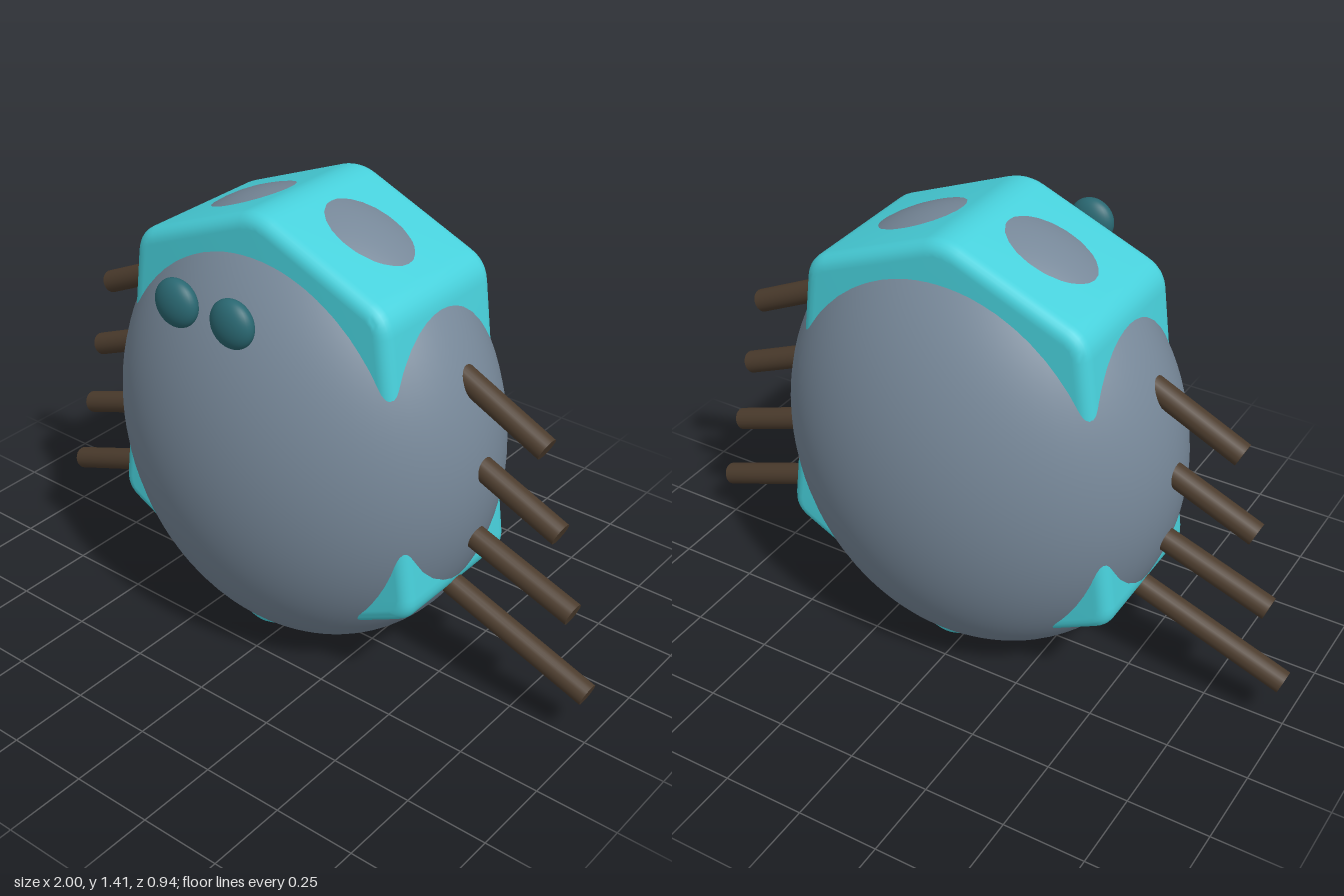
import * as THREE from 'three';
import { toCreasedNormals } from 'three/addons/utils/BufferGeometryUtils.js';

const Z = -0.007; // common centre plane

const paint = (color) => new THREE.MeshStandardMaterial({ color });

function add(parent, name, geometry, material) {
  const mesh = new THREE.Mesh(geometry, material);
  mesh.name = name;
  parent.add(mesh);
  return mesh;
}

// Closed polygon whose corners are softened over distance d
function roundedPolygon(points, d) {
  const pts = points.map(([x, y]) => new THREE.Vector2(x, y));
  const toward = (a, b) => b.clone().sub(a).setLength(d).add(a);
  const shape = new THREE.Shape();
  pts.forEach((p, i) => {
    const start = toward(p, pts[(i + pts.length - 1) % pts.length]);
    const end = toward(p, pts[(i + 1) % pts.length]);
    if (i === 0) shape.moveTo(start.x, start.y);
    else shape.lineTo(start.x, start.y);
    shape.quadraticCurveTo(p.x, p.y, end.x, end.y);
  });
  shape.closePath();
  return shape;
}

export function createModel() {
  const model = new THREE.Group();
  const bodyPaint = paint(0x778899);
  const shellPaint = paint(0x48d1dc);
  const eyePaint = paint(0x2a6872);
  const legPaint = paint(0x4d3d2e);

  // Egg-shaped body
  const body = add(model, 'body', new THREE.SphereGeometry(1, 64, 48), bodyPaint);
  body.scale.set(0.617, 0.7, 0.46);
  body.position.set(0, 0.705, Z);

  // Six-sided shell with rounded edges, partly sunk in the body
  const outline = roundedPolygon([
    [0, 1.43], [-0.437, 1.25], [-0.553, 0.35],
    [0, 0.067], [0.553, 0.35], [0.437, 1.25],
  ], 0.06);
  const bevel = 0.04, halfDepth = 0.245;
  const shellGeometry = new THREE.ExtrudeGeometry(outline, {
    depth: 2 * (halfDepth - bevel), curveSegments: 6,
    bevelSize: bevel, bevelThickness: bevel, bevelOffset: -bevel, bevelSegments: 6,
  });
  shellGeometry.translate(0, 0, Z - halfDepth + bevel);
  add(model, 'shell', toCreasedNormals(shellGeometry, 0.6), shellPaint);

  // Legs: [inner x, inner y, outer x, outer y], mirrored
  const legs = [
    [0.40, 1.08, 0.797, 0.892],
    [0.45, 0.825, 0.86, 0.65],
    [0.45, 0.58, 0.92, 0.412],
    [0.40, 0.383, 0.989, 0.167],
  ];
  for (const side of [1, -1]) {
    const sideName = side > 0 ? 'left' : 'right';

    legs.forEach(([x0, y0, x1, y1], i) => {
      const inner = new THREE.Vector3(side * x0, y0, Z);
      const outer = new THREE.Vector3(side * x1, y1, Z);
      const axis = outer.clone().sub(inner);
      const geometry = new THREE.CylinderGeometry(0.035, 0.035, axis.length(), 20);
      const leg = add(model, `${sideName}Leg${i + 1}`, geometry, legPaint);
      leg.position.copy(inner).add(outer).multiplyScalar(0.5);
      leg.quaternion.setFromUnitVectors(new THREE.Vector3(0, 1, 0), axis.normalize());
    });

    // Flattened eye in front of the body
    const eye = add(model, `${sideName}Eye`, new THREE.SphereGeometry(0.07, 32, 24), eyePaint);
    eye.scale.z = 0.56;
    eye.position.set(side * 0.097, 1.21, 0.432);
  }
  return model;
}
